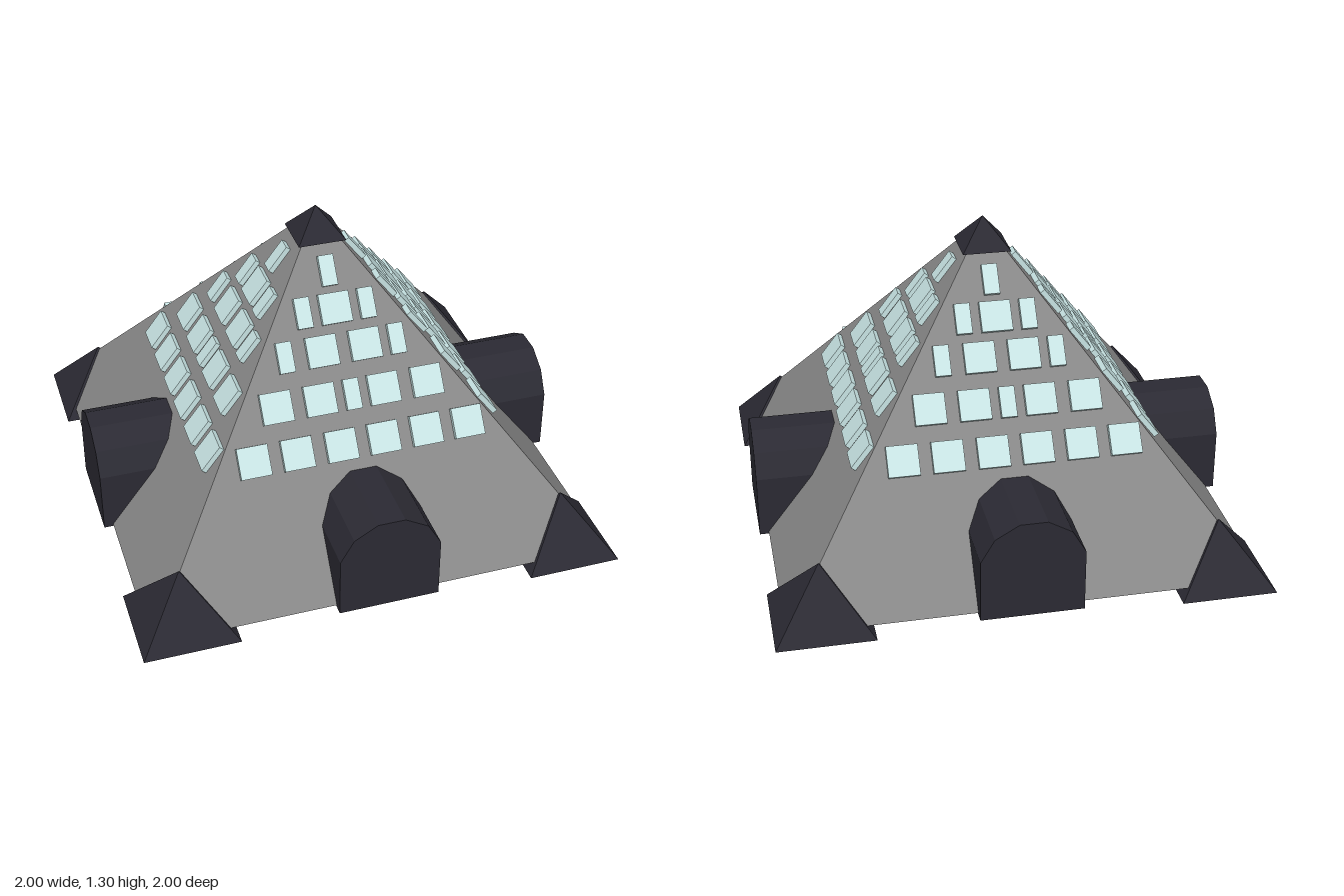
import * as THREE from 'three';
import { mergeGeometries } from 'three/addons/utils/BufferGeometryUtils.js';

const BASE_Y = 0.04, BASE_HALF = 0.955, APEX_Y = 1.285;
const SLOPE = (APEX_Y - BASE_Y) / BASE_HALF;

const paint = (color, side = THREE.FrontSide) =>
  new THREE.MeshStandardMaterial({ color, side, flatShading: true });

// Square pyramid standing on y = 0
function pyramid(half, height, open = false) {
  const g = new THREE.ConeGeometry(half * Math.SQRT2, height, 4, 1, open);
  return g.rotateY(Math.PI / 4).translate(0, height / 2, 0);
}

// Round-topped gatehouse: open underneath, closed outer wall
function gateGeometry() {
  const r = 0.215, cy = 0.237, bottom = 0.03, inner = 0.57, outer = 0.993;
  const profile = [new THREE.Vector2(r * Math.cos(Math.PI / 12), bottom)];
  for (let i = 0; i < 6; i++) {
    const a = Math.PI * (1 + 2 * i) / 12;
    profile.push(new THREE.Vector2(r * Math.cos(a), cy + r * Math.sin(a)));
  }
  profile.push(new THREE.Vector2(-profile[0].x, bottom));

  const wall = new THREE.PlaneGeometry(1, 1, profile.length - 1, 1);
  const pos = wall.attributes.position;
  for (let i = 0; i < pos.count; i++) {
    const p = profile[i % profile.length];
    pos.setXYZ(i, p.x, p.y, i < profile.length ? inner : outer);
  }
  wall.computeVertexNormals();
  const front = new THREE.ShapeGeometry(new THREE.Shape(profile)).translate(0, 0, outer);
  return mergeGeometries([wall, front]);
}

// Window rows: height of the row, then [x, width] of each pane
const W = 0.127, N = 0.064;
const ROWS = [
  [0.53, [[-0.436, W], [-0.256, W], [-0.074, W], [0.105, W], [0.286, W], [0.465, W]]],
  [0.684, [[-0.307, W], [-0.126, W], [0.008, N], [0.142, W], [0.326, W]]],
  [0.834, [[-0.236, N], [-0.082, W], [0.099, W], [0.233, N]]],
  [0.963, [[-0.131, N], [0.003, W], [0.136, N]]],
  [1.085, [[0, N]]],
];

export function createModel() {
  const model = new THREE.Group();
  const stone = paint(0x888888);
  const dark = paint(0x2b2a33);
  const darkShell = paint(0x2b2a33, THREE.DoubleSide);
  const glass = paint(0xc8e4e4);

  const add = (parent, name, geometry, material, x = 0, y = 0, z = 0) => {
    const mesh = new THREE.Mesh(geometry, material);
    mesh.name = name;
    mesh.position.set(x, y, z);
    parent.add(mesh);
    return mesh;
  };

  // Main pyramid and its capstone
  add(model, 'pyramidBody', pyramid(BASE_HALF, APEX_Y - BASE_Y), stone, 0, BASE_Y, 0);
  add(model, 'capstone', pyramid(0.1, 0.125), dark, 0, 1.18, 0);

  // Each side: one gatehouse, its windows and one corner pyramid
  const gate = gateGeometry();
  const corner = pyramid(0.195, 0.25, true);
  const tilt = Math.atan(1 / SLOPE), lift = 0.011;
  for (let s = 0; s < 4; s++) {
    const side = new THREE.Group();
    side.name = ['front', 'left', 'back', 'right'][s] + 'Side';
    side.rotation.y = s * Math.PI / 2;
    model.add(side);

    add(side, 'gatehouse', gate, darkShell);
    add(side, 'cornerPyramid', corner, darkShell, 0.805, 0, 0.805);

    for (const [y, panes] of ROWS) {
      const z = (APEX_Y - y) / SLOPE;
      for (const [x, width] of panes) {
        const pane = add(side, 'windowPane', new THREE.BoxGeometry(width, 0.125, 0.022), glass,
          x, y + lift * Math.sin(tilt), z + lift * Math.cos(tilt));
        pane.rotation.x = -tilt;
      }
    }
  }

  // Plate closing the underside of the front left corner
  const plate = new THREE.PlaneGeometry(0.39, 0.39).rotateX(Math.PI / 2);
  add(model, 'cornerFloorPlate', plate, glass, 0.805, 0, 0.805);

  return model;
}
